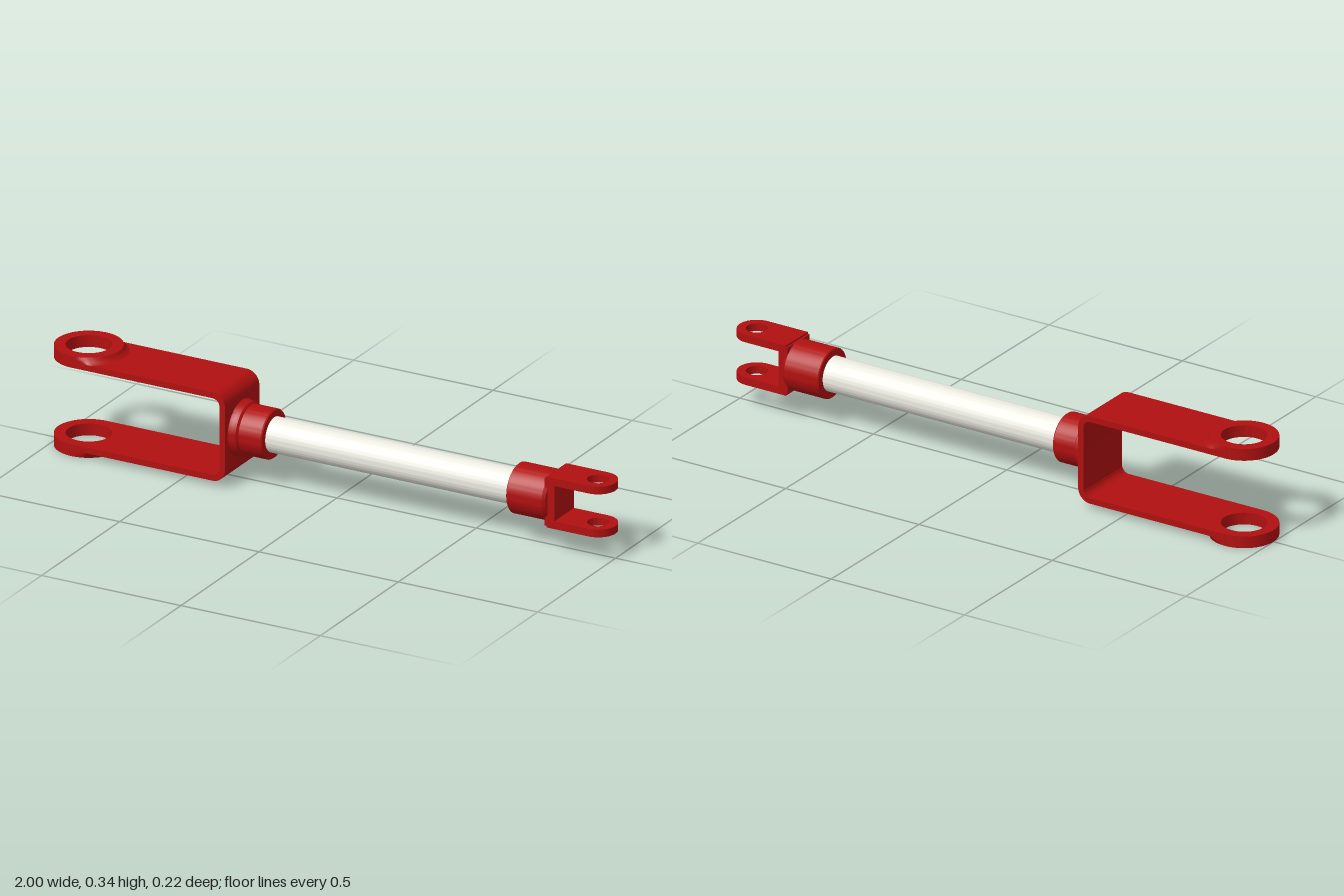
import * as THREE from 'three';
import { toCreasedNormals } from 'three/addons/utils/BufferGeometryUtils.js';

const RED = new THREE.MeshStandardMaterial({ color: 0xb01010 });
const WHITE = new THREE.MeshStandardMaterial({ color: 0xecebe2 });
const MID = 0.17; // height of the rod axis

function add(parent, name, geometry, material = RED) {
  const mesh = new THREE.Mesh(toCreasedNormals(geometry, 0.6), material);
  mesh.name = name;
  parent.add(mesh);
  return mesh;
}

// Flat eye plate: round end at the origin, straight tail to +x, standing on y = 0
function eyePlate(radius, hole, length, thickness) {
  const s = new THREE.Shape();
  if (length > 0) {
    s.moveTo(length, -radius);
    s.lineTo(length, radius);
    s.lineTo(0, radius);
    s.absarc(0, 0, radius, Math.PI / 2, Math.PI * 1.5, false);
    s.closePath();
  } else {
    s.absarc(0, 0, radius, 0, Math.PI * 2, false);
  }
  s.holes.push(new THREE.Path().absarc(0, 0, hole, 0, Math.PI * 2, true));
  return new THREE.ExtrudeGeometry(s, { depth: thickness, bevelEnabled: false, curveSegments: 32 })
    .rotateX(-Math.PI / 2);
}

// Turned part along the x axis; points are [radius, x] with x rising
function turned(points) {
  return new THREE.LatheGeometry(points.map(([r, x]) => new THREE.Vector2(r, x)), 64)
    .rotateZ(-Math.PI / 2);
}

// Bent back of the large fork: a rounded U strip extruded across z
function forkBridge(x0, x1, half, t, radius, width) {
  const s = new THREE.Shape();
  const c = x1 - radius, h = half - radius, inner = radius - t;
  s.moveTo(x0, -half);
  s.lineTo(c, -half);
  s.absarc(c, -h, radius, -Math.PI / 2, 0, false);
  s.lineTo(x1, h);
  s.absarc(c, h, radius, 0, Math.PI / 2, false);
  s.lineTo(x0, half);
  s.lineTo(x0, half - t);
  s.lineTo(c, half - t);
  s.absarc(c, h, inner, Math.PI / 2, 0, true);
  s.lineTo(x1 - t, -h);
  s.absarc(c, -h, inner, 0, -Math.PI / 2, true);
  s.lineTo(x0, -half + t);
  s.closePath();
  return new THREE.ExtrudeGeometry(s, { depth: width, bevelEnabled: false, curveSegments: 12 })
    .translate(0, 0, -width / 2);
}

// Sloped blend from the raised boss down to the arm, cut off at the arm's sides
function bossBlend(radius) {
  const profile = [[0.128, 0], [0.118, 0.006], [0.113, 0.013], [radius, 0.02]];
  const g = new THREE.LatheGeometry(profile.map(([r, y]) => new THREE.Vector2(r, y)), 40, 0, Math.PI);
  const p = g.attributes.position;
  for (let i = 0; i < p.count; i++) {
    p.setZ(i, THREE.MathUtils.clamp(p.getZ(i), -radius, radius));
  }
  return g;
}

export function createModel() {
  const model = new THREE.Group();
  model.name = 'forkedLinkRod';
  const body = new THREE.Group();
  body.name = 'body';
  body.position.y = MID;
  model.add(body);

  // Large fork
  const fork = new THREE.Group();
  fork.name = 'largeFork';
  body.add(fork);
  add(fork, 'forkBridge', forkBridge(-0.4, -0.34, 0.15, 0.02, 0.045, 0.22));
  for (const side of [1, -1]) {
    const arm = new THREE.Group();
    arm.name = side > 0 ? 'upperForkArm' : 'lowerForkArm';
    arm.position.x = -0.89;
    if (side < 0) arm.rotation.x = Math.PI;
    add(arm, 'armPlate', eyePlate(0.11, 0.073, 0.49, 0.02)).position.y = 0.13;
    add(arm, 'eyeBoss', eyePlate(0.11, 0.073, 0, 0.02)).position.y = 0.15;
    add(arm, 'bossBlend', bossBlend(0.11)).position.y = 0.15;
    fork.add(arm);
  }

  // Collar with a filleted flange against the fork
  add(body, 'forkCollar', turned([
    [0, -0.345], [0.096, -0.345], [0.092, -0.336], [0.09, -0.328], [0.09, -0.314],
    [0.082, -0.308], [0.082, -0.229], [0.079, -0.225], [0, -0.225],
  ]));

  // Rod
  add(body, 'rod', turned([[0, -0.24], [0.058, -0.24], [0.058, 0.67], [0, 0.67]]), WHITE);

  // Small clevis
  const clevis = new THREE.Group();
  clevis.name = 'smallClevis';
  body.add(clevis);
  add(clevis, 'clevisCollar', turned([
    [0, 0.652], [0.08, 0.652], [0.083, 0.655], [0.083, 0.78], [0.076, 0.79], [0, 0.79],
  ]));
  add(clevis, 'clevisBase', new THREE.BoxGeometry(0.035, 0.16, 0.126)).position.x = 0.7975;
  for (const side of [1, -1]) {
    const arm = new THREE.Group();
    arm.name = side > 0 ? 'upperClevisArm' : 'lowerClevisArm';
    arm.position.x = 0.937;
    arm.rotation.x = side > 0 ? 0 : Math.PI;
    const plate = eyePlate(0.063, 0.035, 0.15, 0.026).rotateY(Math.PI);
    add(arm, 'clevisArmPlate', plate).position.y = 0.06;
    clevis.add(arm);
  }
  return model;
}
